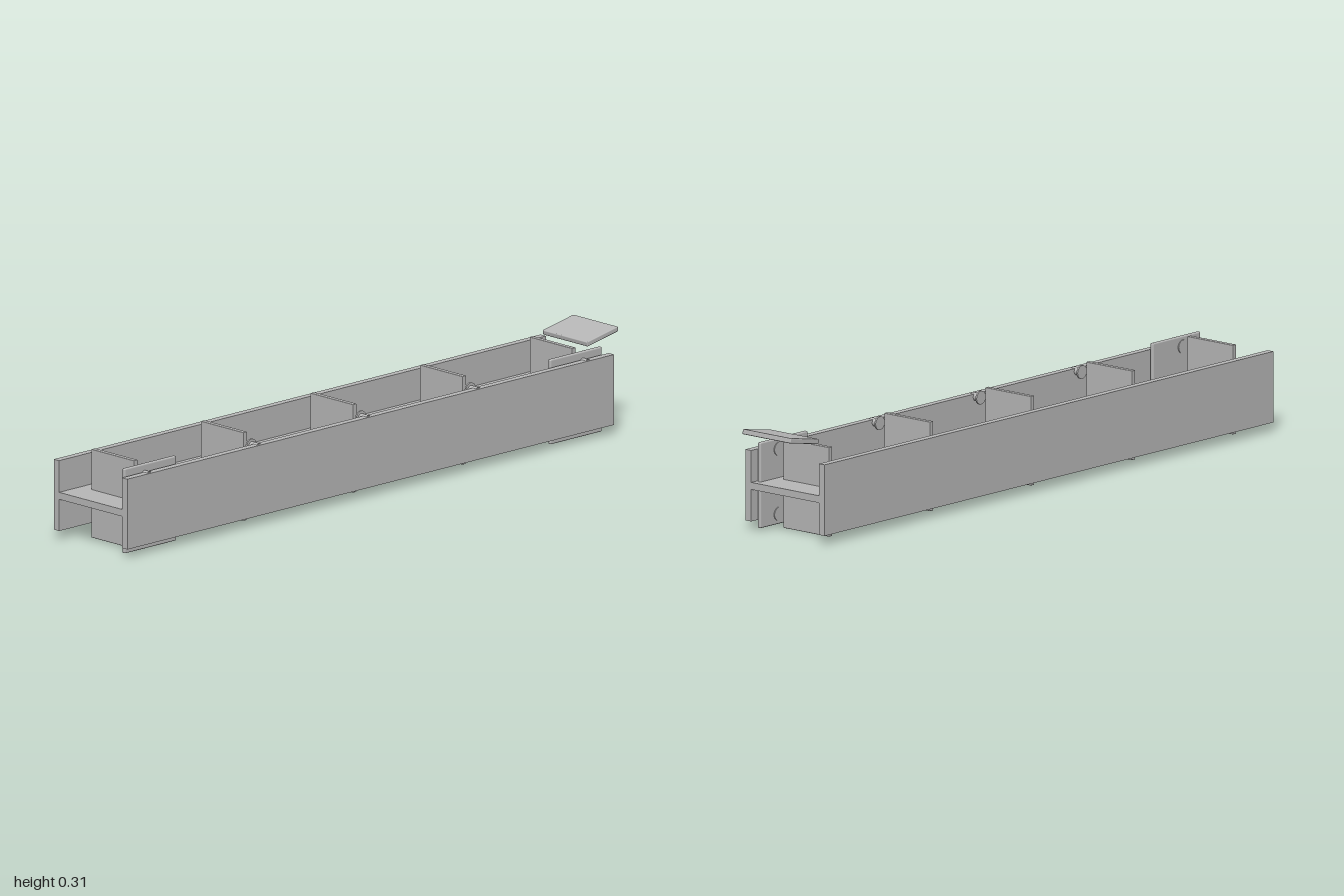
import * as THREE from 'three';
import { RoundedBoxGeometry } from 'three/addons/geometries/RoundedBoxGeometry.js';

export function createModel() {
  const model = new THREE.Group();
  const steel = new THREE.MeshStandardMaterial({ color: 0xb8b8b8 });
  steel.name = 'steelGrey';

  const add = (name, geometry, x, y, z) => {
    const mesh = new THREE.Mesh(geometry, steel);
    mesh.name = name;
    mesh.position.set(x, y, z);
    model.add(mesh);
    return mesh;
  };

  // H-section beam: two upright flanges joined by a flat web
  const midX = -0.0225, midY = 0.133, length = 1.955;
  for (const [name, side] of [['frontFlange', 1], ['backFlange', -1]]) {
    add(name, new THREE.BoxGeometry(length, 0.21, 0.022), midX, midY, side * 0.141);
  }
  add('web', new THREE.BoxGeometry(length, 0.021, 0.26), midX, midY, 0);

  // Five stiffener plates, each with a bolt above and below the web
  const stiffener = new RoundedBoxGeometry(0.015, 0.264, 0.176, 2, 0.002);
  const washer = new THREE.CylinderGeometry(0.02, 0.02, 0.005, 24).rotateX(Math.PI / 2);
  const shank = new THREE.CylinderGeometry(0.012, 0.012, 0.034, 20).rotateX(Math.PI / 2);
  for (let i = 0; i < 5; i++) {
    const x = -0.904 + i * 0.44;
    add('stiffener', stiffener, x, 0.132, 0);
    for (const side of [-1, 1]) {
      const y = midY + side * 0.096;
      add('boltWasher', washer, x, y, 0.112);
      add('boltShank', shank, x, y, 0.127);
    }
  }

  // Splice plates inside the front flange at both ends
  const splice = new RoundedBoxGeometry(0.207, 0.253, 0.012, 2, 0.004);
  for (const x of [-0.879, 0.831]) add('splicePlate', splice, x, 0.133, 0.118);

  // Loose tilted plate over the left end
  const cover = add('tiltedPlate', new RoundedBoxGeometry(0.127, 0.015, 0.185, 2, 0.003), 0.935, 0.29, 0.034);
  cover.rotation.z = 0.185;

  return model;
}
